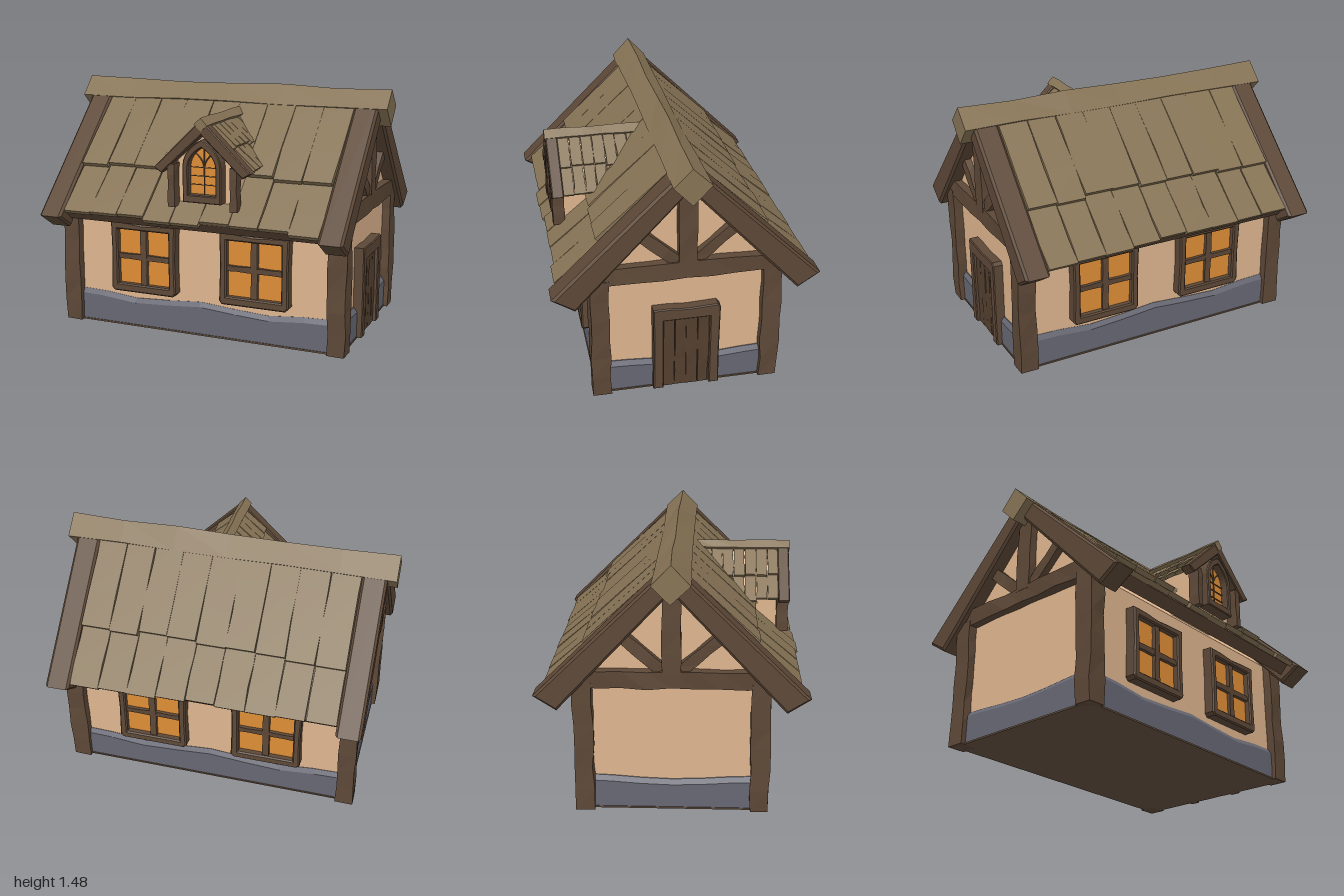
import * as THREE from 'three';

const mat = (color) => new THREE.MeshStandardMaterial({ color, flatShading: true });
const M = {
  plaster: mat(0xdeb58e), timber: mat(0x5d4837), door: mat(0x54402f), shingle: mat(0x867355),
  stone: mat(0x676773), glass: mat(0xdd8d36), floor: mat(0x63503f),
};

// Repeatable value in -1..1 from a position
const hash = (x, y, z) => {
  const s = Math.sin(Math.round(x * 500) * 12.99 + Math.round(y * 500) * 78.23 + Math.round(z * 500) * 37.72) * 43758.5;
  return (s - Math.floor(s)) * 2 - 1;
};

function add(parent, name, geo, material, x = 0, y = 0, z = 0) {
  const g = geo.index ? geo.toNonIndexed() : geo;
  g.computeVertexNormals();
  const mesh = new THREE.Mesh(g, material);
  mesh.name = name;
  mesh.position.set(x, y, z);
  parent.add(mesh);
  return mesh;
}

// Rough hewn timber, standing along y
function hewn(w, len, d, amp = 0.006, seg = 5, seed = 0) {
  const g = new THREE.BoxGeometry(w, len, d, 1, seg, 1);
  const p = g.attributes.position;
  for (let i = 0; i < p.count; i++) {
    const [x, y, z] = [p.getX(i), p.getY(i), p.getZ(i)];
    p.setX(i, x + amp * hash(x + seed, y, z));
    p.setZ(i, z + amp * hash(z, x + seed, y));
  }
  return g;
}

const shape = (pts) => new THREE.Shape(pts.map(([x, y]) => new THREE.Vector2(x, y)));
// Half outline (bottom to top on +x) mirrored into a full one
const mirrored = (half) => half.concat(half.filter(([x]) => x > 0).reverse().map(([x, y]) => [-x, y]));
// Chevron from an outer and an inner line
const chevron = (tip, foot, outer, inner) =>
  shape([foot, tip, [0, outer], [-tip[0], tip[1]], [-foot[0], foot[1]], [0, inner]]);
const extrude = (s, depth, bevel = 0) => {
  const g = new THREE.ExtrudeGeometry(s, {
    depth: depth - 2 * bevel, bevelEnabled: bevel > 0, bevelSize: bevel, bevelOffset: -bevel,
    bevelThickness: bevel, bevelSegments: 1, curveSegments: 6,
  });
  return g.translate(0, 0, bevel);
};
const alongX = (g) => g.rotateY(Math.PI / 2);
const rect = (x0, y0, x1, y1) => shape([[x0, y0], [x1, y0], [x1, y1], [x0, y1]]);

// Pointed arch outline
function archShape(w, y0, spring, top) {
  const s = new THREE.Shape();
  s.moveTo(-w, y0); s.lineTo(w, y0); s.lineTo(w, spring);
  s.quadraticCurveTo(w * 0.95, spring + (top - spring) * 0.6, 0, top);
  s.quadraticCurveTo(-w * 0.95, spring + (top - spring) * 0.6, -w, spring);
  return s;
}

// Two courses of shingles on a slope; local z runs downhill, local y is outward
function shingles(parent, { x0, x1, cols, courses, thick, jitter, seed }) {
  const w = (x1 - x0) / cols;
  courses.forEach(([s0, s1, n0, n1], row) => {
    for (let i = 0; i < cols; i++) {
      const end = s1 + jitter * hash(i * 0.31 + seed, row, 2);
      const lift = jitter * 0.2 * hash(i, row * 0.3, seed);
      const g = new THREE.BoxGeometry(w - 0.004, thick, end - s0, 1, 1, 3);
      const p = g.attributes.position;
      for (let k = 0; k < p.count; k++) {
        const x = p.getX(k), z = p.getZ(k);
        p.setX(k, x + 0.004 * hash(x + i, row, z));
        const t = z / (end - s0) + 0.5;
        p.setY(k, p.getY(k) - thick / 2 + n0 + (n1 + lift - n0) * t);
      }
      add(parent, 'shingle', g, M.shingle, x0 + (i + 0.5) * w, 0, (s0 + end) / 2);
    }
  });
}

// Four-pane window facing +z
function windowUnit() {
  const g = new THREE.Group();
  g.name = 'window';
  const frame = shape([[-0.2, -0.22], [0.195, -0.22], [0.215, -0.2], [0.21, 0], [0.217, 0.215],
    [0.1, 0.212], [0, 0.205], [-0.1, 0.216], [-0.215, 0.218], [-0.21, 0.02], [-0.217, -0.2]]);
  frame.holes.push(rect(-0.17, -0.17, 0.17, 0.17));
  add(g, 'windowFrame', extrude(frame, 0.08, 0.008), M.timber, 0, 0, -0.02);
  add(g, 'windowGlass', new THREE.BoxGeometry(0.36, 0.36, 0.02), M.glass, 0, 0, 0.012);
  add(g, 'windowBar', hewn(0.04, 0.36, 0.03, 0.003), M.timber, 0, 0, 0.03);
  add(g, 'windowBar', hewn(0.034, 0.36, 0.03, 0.003).rotateZ(Math.PI / 2), M.timber, 0, 0, 0.028);
  return g;
}

function dormer() {
  const g = new THREE.Group();
  g.name = 'dormer';
  g.position.x = 0.09;
  add(g, 'dormerWall', extrude(shape(mirrored([[0.178, 0.825], [0.178, 1.1], [0, 1.28]])), 0.41), M.plaster, 0, 0, 0.2);
  add(g, 'dormerRake', extrude(chevron([0.3, 1.045], [0.25, 1.015], 1.335, 1.245), 0.07, 0.006), M.timber, 0, 0, 0.615);
  add(g, 'dormerRidge', hewn(0.055, 0.57, 0.055, 0.003).rotateY(Math.PI / 4).rotateX(Math.PI / 2), M.shingle, 0, 1.305, 0.405);
  for (const s of [-1, 1]) {
    add(g, 'dormerPost', hewn(0.042, 0.25, 0.07, 0.003, 4, s), M.timber, s * 0.192, 0.945, 0.645);
    const slope = new THREE.Group();
    slope.name = 'dormerRoof';
    slope.position.y = 1.33;
    slope.rotation.set(Math.PI / 4, s * Math.PI / 2, 0, 'YXZ');
    // slope's own x runs along the dormer's depth
    const [a, b] = s > 0 ? [-0.62, -0.14] : [0.14, 0.62];
    shingles(slope, { x0: a, x1: b, cols: 7, thick: 0.022, jitter: 0.012, seed: s,
      courses: [[0.02, 0.23, -0.012, 0.004], [0.19, 0.4, -0.022, -0.004]] });
    g.add(slope);
  }
  // Pointed window with tracery
  const frame = archShape(0.118, 0.855, 1.07, 1.22);
  frame.holes.push(archShape(0.085, 0.9, 1.06, 1.175));
  add(g, 'archFrame', extrude(frame, 0.075, 0.005), M.timber, 0, 0, 0.607);
  add(g, 'archGlass', extrude(archShape(0.095, 0.89, 1.06, 1.185), 0.03), M.glass, 0, 0, 0.605);
  add(g, 'archBar', new THREE.BoxGeometry(0.005, 0.27, 0.008), M.timber, 0, 1.03, 0.638);
  for (const y of [0.955, 1.005, 1.055])
    add(g, 'archBar', new THREE.BoxGeometry(0.18, 0.004, 0.008), M.timber, 0, y, 0.638);
  for (const s of [-1, 1]) {
    const curve = new THREE.QuadraticBezierCurve3(new THREE.Vector3(0, 1.055, 0.638),
      new THREE.Vector3(s * 0.008, 1.11, 0.638), new THREE.Vector3(s * 0.06, 1.14, 0.638));
    add(g, 'archTracery', new THREE.TubeGeometry(curve, 6, 0.004, 4), M.timber);
  }
  return g;
}

// One gable end facing +x: rakes, truss and corner posts
function gable(seed) {
  const g = new THREE.Group();
  g.name = 'gableEnd';
  add(g, 'rake', alongX(extrude(chevron([0.765, 0.71], [0.635, 0.625], 1.465, 1.31), 0.145, 0.014)), M.timber, 0.8);
  add(g, 'tieBeam', hewn(0.1, 1.1, 0.085, 0.006, 8, seed).rotateZ(Math.PI / 2).rotateY(Math.PI / 2).rotateX(Math.PI / 2)
    .rotateX(Math.PI / 2), M.timber, 0.865, 0.8, 0);
  add(g, 'kingPost', hewn(0.08, 0.5, 0.105, 0.004, 4, seed), M.timber, 0.865, 1.08, 0);
  for (const s of [-1, 1]) {
    add(g, 'brace', hewn(0.07, 0.36, 0.066, 0.004, 4, s).rotateX(s * 0.84), M.timber, 0.862, 0.975, s * 0.19);
    add(g, 'cornerPost', hewn(0.108, 0.78, 0.108, 0.006, 6, s + seed), M.timber, 0.856, 0.39, s * 0.496);
  }
  return g;
}

export function createModel() {
  const house = new THREE.Group();
  house.name = 'cottage';

  // Floor, stone footing with a wavy sloped top, plaster body
  add(house, 'floor', new THREE.BoxGeometry(1.77, 0.01, 1.05), M.floor, 0, 0.005, 0);
  const footing = new THREE.BoxGeometry(1.76, 2, 1.04, 8, 2, 6);
  const p = footing.attributes.position;
  for (let i = 0; i < p.count; i++) {
    const row = Math.round(p.getY(i) + 1), x = p.getX(i), z = p.getZ(i);
    const h = 0.19 - 0.015 * Math.cos(x * 7.8) * Math.cos(z * 6);
    p.setXYZ(i, x * (row === 2 ? 0.978 : 1), [0.005, h - 0.028, h][row], z * (row === 2 ? 0.965 : 1));
  }
  add(house, 'stoneFooting', footing, M.stone);
  add(house, 'walls', alongX(extrude(shape(mirrored([[0.5, 0.02], [0.5, 0.78], [0, 1.33]])), 1.71)), M.plaster, -0.855);

  // Windows on the two long sides
  for (const side of [0, Math.PI]) {
    const wall = new THREE.Group();
    wall.name = 'windowPair';
    wall.rotation.y = side;
    for (const x of [-0.355, 0.36]) {
      const w = windowUnit();
      w.position.set(x, 0.45, 0.505);
      wall.add(w);
    }
    house.add(wall);
  }

  // Plank door on the +x end
  const jamb = shape([[-0.195, 0], [-0.135, 0], [-0.135, 0.475], [0.135, 0.475], [0.135, 0], [0.195, 0],
    [0.192, 0.2], [0.196, 0.535], [0.18, 0.555], [0, 0.547], [-0.1, 0.555], [-0.196, 0.555], [-0.192, 0.25]]);
  add(house, 'doorFrame', alongX(extrude(jamb, 0.075, 0.006)), M.timber, 0.84);
  for (let i = 0; i < 4; i++)
    add(house, 'doorPlank', hewn(0.05, 0.475, 0.064, 0.003, 5, i), M.door, 0.87, 0.24, -0.101 + i * 0.0675);

  // Gable ends
  for (const side of [0, 1]) {
    const g = gable(side);
    g.rotation.y = side * Math.PI;
    house.add(g);
  }

  // Roof deck, shingles and ridge beam
  add(house, 'roofDeck', alongX(extrude(chevron([0.69, 0.735], [0.64, 0.68], 1.425, 1.32), 1.61)), M.timber, -0.805);
  for (const side of [0, 1]) {
    const slope = new THREE.Group();
    slope.name = 'roofSlope';
    slope.position.y = 1.47;
    slope.rotation.set(Math.PI / 4, side * Math.PI, 0, 'YXZ');
    shingles(slope, { x0: -0.8, x1: 0.8, cols: 9, thick: 0.03, jitter: 0.02, seed: side + 1,
      courses: [[0.04, 0.68, -0.012, 0.012], [0.6, 1.025, -0.03, 0.002]] });
    house.add(slope);
  }
  add(house, 'ridgeBeam', hewn(0.148, 2, 0.148, 0.007, 6).rotateY(Math.PI / 4).rotateZ(Math.PI / 2), M.shingle, 0, 1.365, 0);
  house.add(dormer());
  return house;
}
